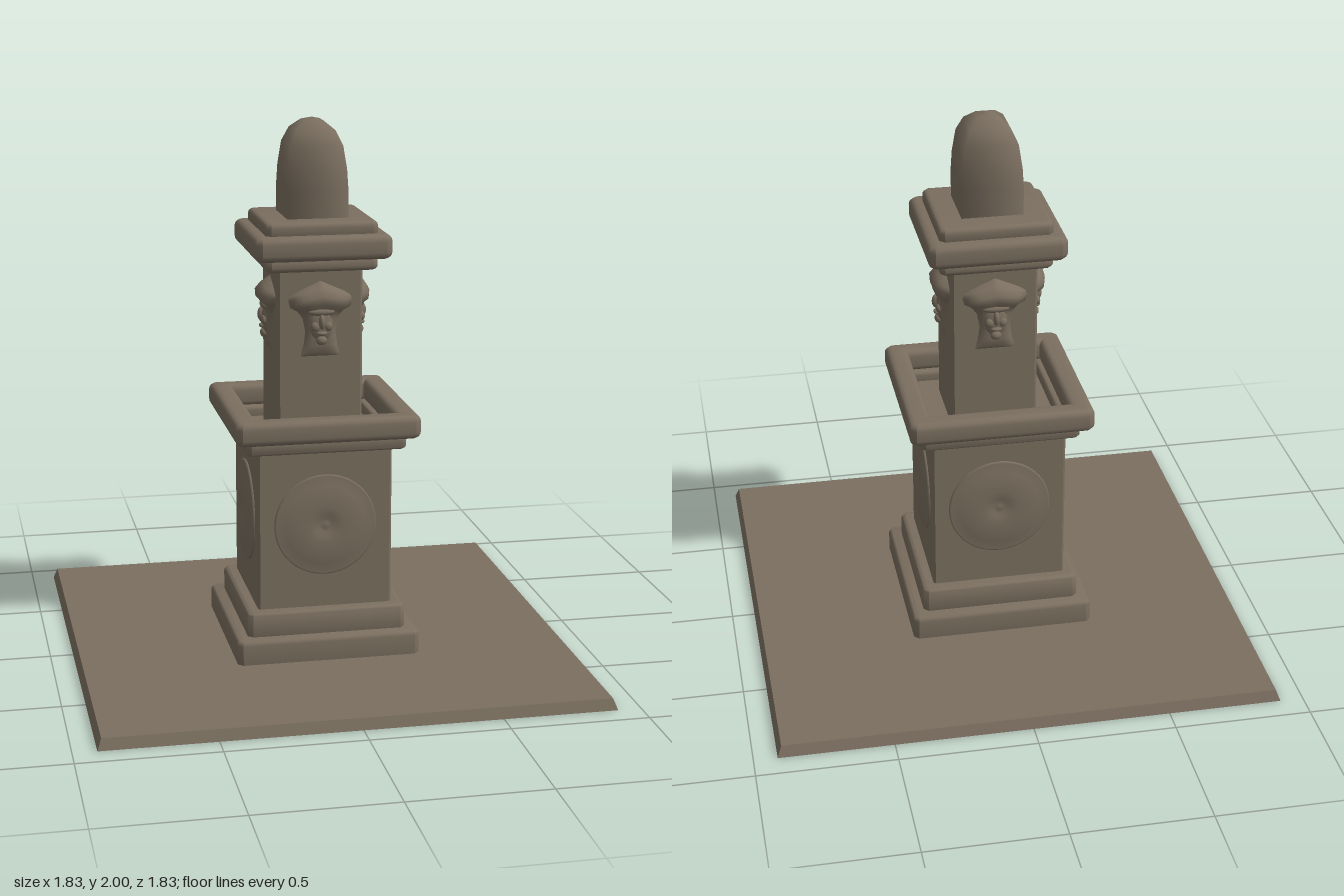
import * as THREE from 'three';
import { toCreasedNormals } from 'three/addons/utils/BufferGeometryUtils.js';

const stone = new THREE.MeshStandardMaterial({ color: 0x7a6e5f });
stone.name = 'stone';

function part(name, geometry, parent) {
  const mesh = new THREE.Mesh(geometry, stone);
  mesh.name = name;
  parent.add(mesh);
  return mesh;
}

// Square outline with clipped corners
function outline(target, h, c) {
  const pts = [[h, c - h], [h, h - c], [h - c, h], [c - h, h], [-h, h - c], [-h, c - h], [c - h, -h], [h - c, -h]];
  target.setFromPoints(pts.map(([x, y]) => new THREE.Vector2(x, y)));
  return target;
}

// Square slab between two heights, with rounded edges and an optional square opening
function slab(name, parent, half, y0, y1, bevel, opening = 0) {
  const shape = outline(new THREE.Shape(), half - bevel, 0.008);
  if (opening) shape.holes.push(outline(new THREE.Path(), opening + bevel, 0.004));
  const geo = new THREE.ExtrudeGeometry(shape, {
    depth: y1 - y0 - 2 * bevel, bevelEnabled: bevel > 0,
    bevelSize: bevel, bevelThickness: bevel, bevelSegments: 4,
  });
  geo.rotateX(-Math.PI / 2).translate(0, y0 + bevel, 0);
  return part(name, toCreasedNormals(geo, 0.6), parent);
}

// Lofted square tower from [half width, height] pairs
function squareLoft(profile) {
  const pts = profile.map(([h, y]) => new THREE.Vector2(h * Math.SQRT2, y));
  return new THREE.LatheGeometry(pts, 4).rotateY(Math.PI / 4);
}

// Gabled mask relief: rows of [height, half width, projection, drop at the sides]
function maskGeometry() {
  const rows = [
    [1.425, 0.09, 0, 0.04], [1.405, 0.112, 0.03, 0.035], [1.375, 0.118, 0.05, 0.02],
    [1.345, 0.112, 0.048, 0.015], [1.32, 0.085, 0.026, 0.005], [1.29, 0.066, 0.024, 0],
    [1.24, 0.056, 0.022, 0], [1.19, 0.062, 0.018, 0], [1.16, 0.072, 0.012, 0], [1.148, 0.072, 0, 0],
  ];
  const n = 16;
  const geo = new THREE.PlaneGeometry(2, 1, n, rows.length - 1);
  const pos = geo.attributes.position;
  for (let i = 0; i < pos.count; i++) {
    const u = pos.getX(i);
    const [y, w, d, drop] = rows[Math.floor(i / (n + 1))];
    pos.setXYZ(i, u * w, y - drop * Math.abs(u), d * (1 - u ** 4));
  }
  geo.computeVertexNormals();
  return geo;
}

export function createModel() {
  const model = new THREE.Group();
  model.name = 'stoneFountain';

  // Paving plate
  const paving = new THREE.CylinderGeometry(0.9 * Math.SQRT2, 0.915 * Math.SQRT2, 0.04, 4);
  paving.rotateY(Math.PI / 4).translate(0, 0.02, 0);
  part('paving', toCreasedNormals(paving, 0.5), model);

  // Stepped plinth and pedestal
  slab('lowerPlinth', model, 0.34, 0.02, 0.13, 0.018);
  slab('upperPlinth', model, 0.295, 0.1, 0.22, 0.018);
  slab('pedestal', model, 0.25, 0.2, 0.83, 0);

  // Open basin
  slab('basinMoulding', model, 0.295, 0.815, 0.87, 0.015, 0.235);
  slab('basinRim', model, 0.34, 0.862, 0.95, 0.024, 0.255);

  // Column and its capital
  slab('column', model, 0.157, 0.82, 1.48, 0);
  slab('capitalLower', model, 0.205, 1.465, 1.52, 0.018);
  slab('capitalMiddle', model, 0.25, 1.51, 1.6, 0.026);
  slab('capitalUpper', model, 0.205, 1.58, 1.645, 0.018);

  // Domed finial
  part('finial', squareLoft([
    [0, 2], [0.035, 1.99], [0.072, 1.958], [0.096, 1.905], [0.108, 1.82], [0.112, 1.75], [0.112, 1.63],
  ].reverse()), model);

  // Profiles and reliefs shared by the four sides
  const discProfile = [
    [0.19, 0], [0.19, 0.005], [0.184, 0.009], [0.178, 0.006], [0.15, 0.013],
    [0.11, 0.019], [0.07, 0.02], [0.04, 0.018], [0.025, 0.011], [0.012, 0.013], [0, 0.014],
  ].map(([r, z]) => new THREE.Vector2(r, z));
  const disc = new THREE.LatheGeometry(discProfile, 40).rotateX(Math.PI / 2);
  const mask = maskGeometry();
  const ball = new THREE.SphereGeometry(1, 16, 12);
  // Each feature: name, x, y, z, then its three radii
  const features = [
    ['face', 0, 1.268, 0.012, 0.045, 0.066, 0.022],
    ['brow', 0, 1.315, 0.022, 0.05, 0.015, 0.015],
    ['nose', 0, 1.28, 0.03, 0.012, 0.028, 0.018],
    ['leftCheek', 0.024, 1.262, 0.026, 0.016, 0.018, 0.012],
    ['rightCheek', -0.024, 1.262, 0.026, 0.016, 0.018, 0.012],
    ['mouth', 0, 1.237, 0.028, 0.02, 0.009, 0.014],
    ['chin', 0, 1.21, 0.022, 0.02, 0.018, 0.016],
  ];

  for (let i = 0; i < 4; i++) {
    const side = new THREE.Group();
    side.name = 'sideOrnament' + (i + 1);
    side.rotation.y = (i * Math.PI) / 2;
    model.add(side);
    part('roundRelief', disc, side).position.set(0, 0.535, 0.25);
    const head = new THREE.Group();
    head.name = 'maskRelief';
    head.position.z = 0.157;
    side.add(head);
    part('maskPanel', mask, head);
    for (const [name, x, y, z, rx, ry, rz] of features) {
      const mesh = part(name, ball, head);
      mesh.position.set(x, y, z);
      mesh.scale.set(rx, ry, rz);
    }
  }
  return model;
}
